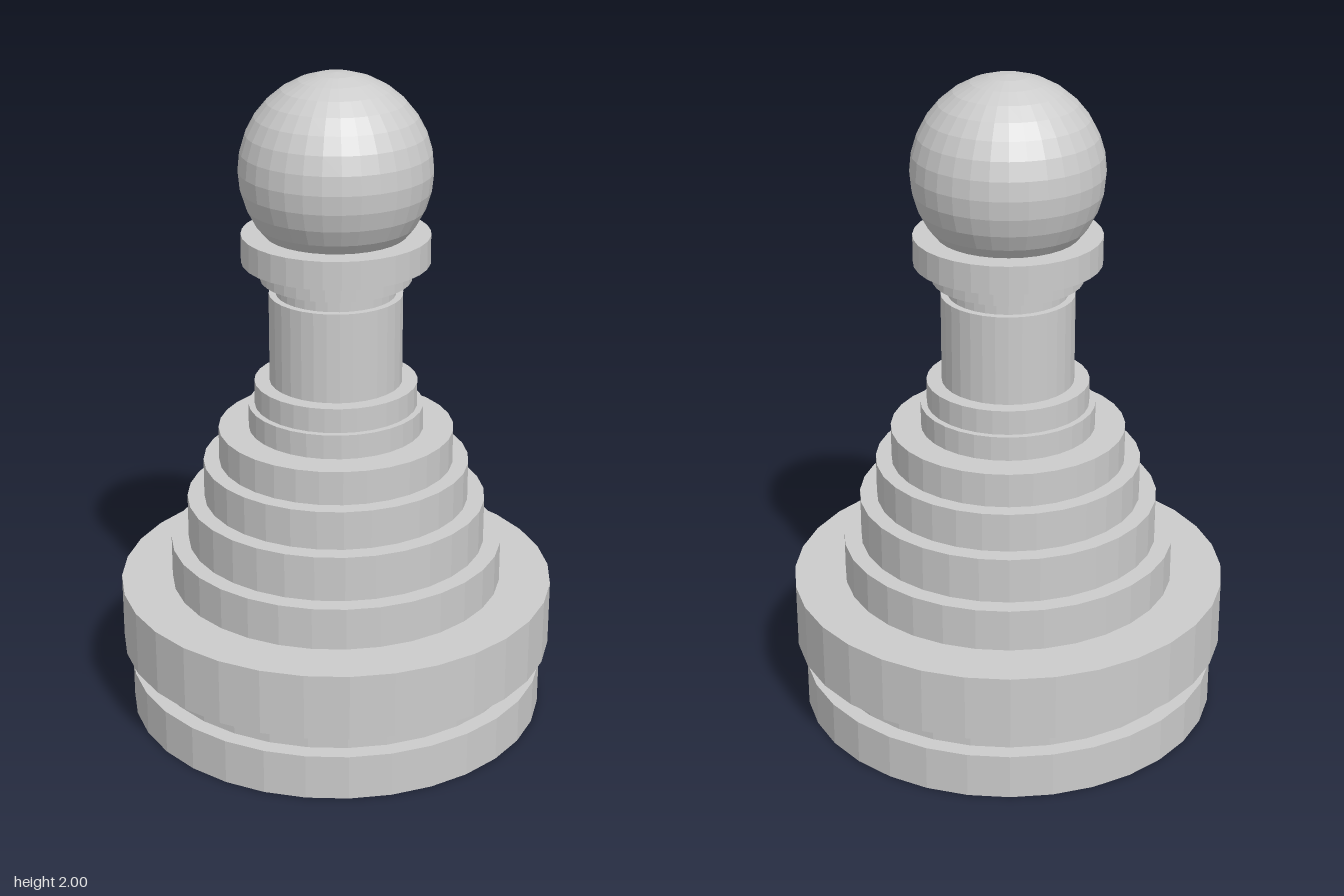
import * as THREE from 'three';

const SIDES = 32;

// Stacked discs from the ground up: name, radius, height of the top edge
const TIERS = [
  ['foot', 0.643, 0.14],
  ['footGroove', 0.593, 0.215],
  ['baseRim', 0.668, 0.42],
  ['skirtStep1', 0.51, 0.55],
  ['skirtStep2', 0.457, 0.69],
  ['skirtStep3', 0.405, 0.81],
  ['skirtStep4', 0.357, 0.915],
  ['lowerStemRing', 0.265, 0.99],
  ['upperStemRing', 0.246, 1.065],
  ['stem', 0.2, 1.34],
  ['neck', 0.179, 1.385],
  ['lowerCollar', 0.225, 1.44],
  ['upperCollar', 0.28, 1.525],
];

export function createModel() {
  const group = new THREE.Group();
  group.name = 'chessPawn';
  const material = new THREE.MeshStandardMaterial({ color: 0xcccccc, flatShading: true });

  const add = (name, geometry, y) => {
    const mesh = new THREE.Mesh(geometry, material);
    mesh.name = name;
    mesh.position.y = y;
    group.add(mesh);
  };

  // Each disc rests on the one below it
  let bottom = 0;
  for (const [name, radius, top] of TIERS) {
    const height = top - bottom;
    add(name, new THREE.CylinderGeometry(radius, radius, height, SIDES), bottom + height / 2);
    bottom = top;
  }

  // Ball head sunk into the collar
  const headRadius = 0.285;
  add('head', new THREE.SphereGeometry(headRadius, SIDES, SIDES / 2), 2 - headRadius);

  return group;
}
